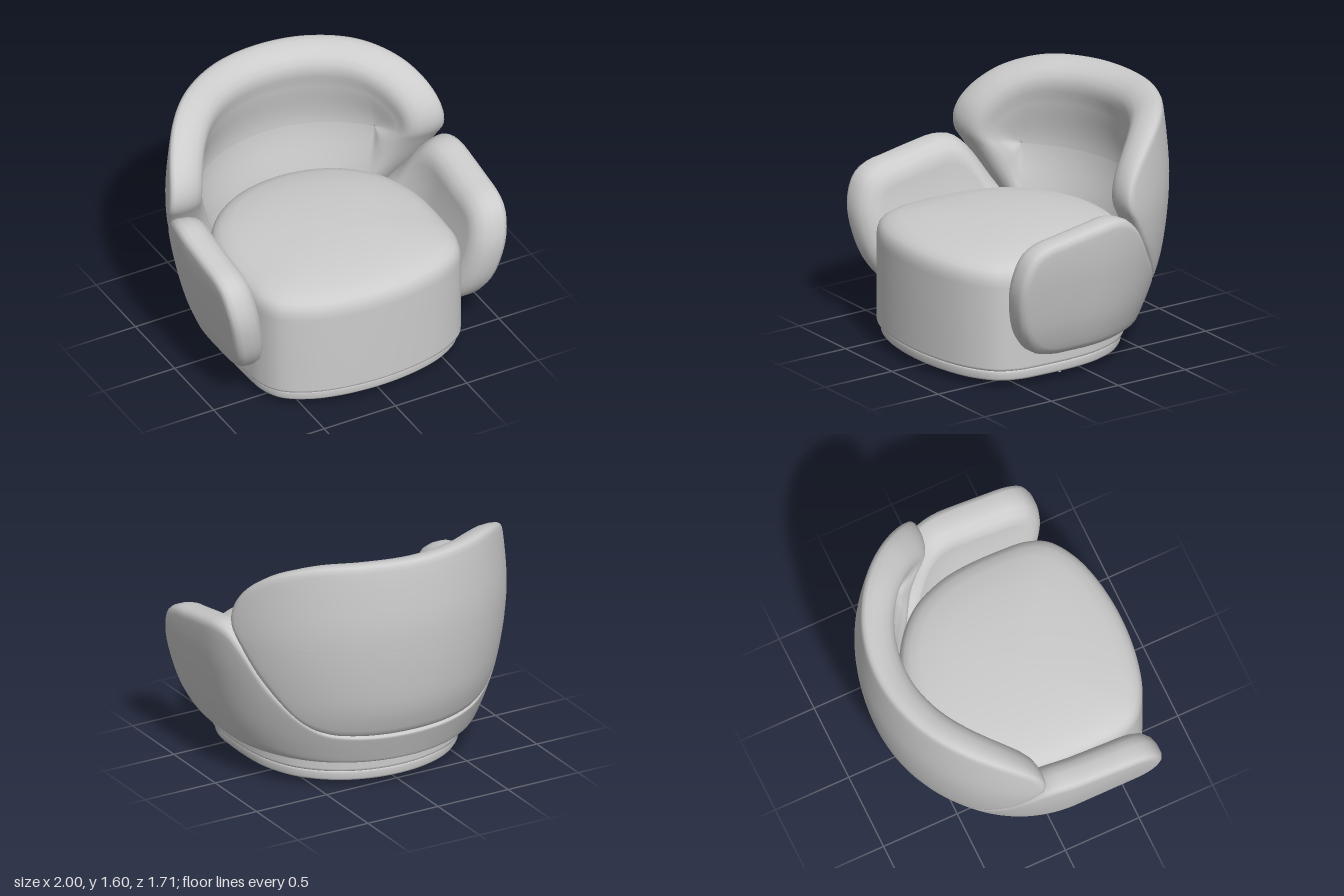
import * as THREE from 'three';

const upholstery = new THREE.MeshStandardMaterial({ color: 0xcccccc });
upholstery.name = 'light grey';

const LOOP = 200; // points around each closed outline
const MID_Z = 0.13; // centre of the curved back in plan

// Smooth lookup through [key, value] pairs
function lookup(pairs) {
  const curve = new THREE.SplineCurve(pairs.map(([k, v]) => new THREE.Vector2(k, v)));
  const table = curve.getPoints(pairs.length * 12);
  return (k) => {
    if (k <= table[0].x) return table[0].y;
    for (let i = 1; i < table.length; i++) {
      const p = table[i - 1], q = table[i];
      if (k <= q.x) return THREE.MathUtils.mapLinear(k, p.x, q.x, p.y, q.y);
    }
    return table[table.length - 1].y;
  };
}

// Closed smooth outline from one half, mirrored in its first coordinate
function mirroredLoop(half) {
  const other = half.slice(1, -1).reverse().map(([u, v]) => [-u, v]);
  const pts = [...half, ...other].map(([u, v]) => new THREE.Vector3(u, v, 0));
  const curve = new THREE.CatmullRomCurve3(pts, true, 'centripetal');
  curve.arcLengthDivisions = 800;
  return curve.getSpacedPoints(LOOP).slice(0, LOOP);
}

// Smooth skin over a list of closed rings
function skin(rings) {
  const pos = [], index = [], n = rings[0].length;
  rings.forEach((ring) => ring.forEach((p) => pos.push(p.x, p.y, p.z)));
  for (let i = 0; i < rings.length - 1; i++) {
    for (let j = 0; j < n; j++) {
      const k = (j + 1) % n;
      const a = i * n + j, b = i * n + k, c = a + n, d = b + n;
      index.push(a, b, c, b, d, c);
    }
  }
  const geo = new THREE.BufferGeometry();
  geo.setAttribute('position', new THREE.Float32BufferAttribute(pos, 3));
  geo.setIndex(index);
  geo.computeVertexNormals();
  return geo;
}

// Common outer surface: half round at the back, straight arms forward
const halfWidth = lookup([[0.2, 0.8], [0.27, 0.84], [0.45, 0.905], [0.75, 0.97], [0.95, 0.995], [1.1, 1], [1.3, 0.985], [1.6, 0.95]]);
const depth = lookup([[0.2, 0.78], [0.42, 0.865], [0.6, 0.93], [0.8, 0.962], [1, 0.98], [1.2, 0.985], [1.45, 0.965], [1.6, 0.945]]);
function place(s, y, d) {
  const a = halfWidth(y) - d, b = depth(y) - d, t = Math.abs(s), q = Math.PI / 2;
  if (t < q) return new THREE.Vector3(a * Math.sin(s), y, MID_Z - b * Math.cos(s));
  return new THREE.Vector3(a * Math.sign(s), y, MID_Z + t - q);
}

// Padded panel wrapped on that surface: outer face, rounded rim, inner face.
// Faces run slightly past the spine so the two halves overlap without a gap.
function paddedPanel(half, spine, rim, innerDepth) {
  const loop = mirroredLoop(half), STEPS = 8, OVERLAP = 1.03;
  const ring = (edge, q, d) => loop.map((p) => {
    const [cs, cy] = spine(p.x);
    const dist = Math.hypot(cs - p.x, cy - p.y);
    const start = edge * Math.min(1, dist / 0.3);
    const f = THREE.MathUtils.lerp(start, dist * OVERLAP, q) / dist;
    return place(p.x + (cs - p.x) * f, p.y + (cy - p.y) * f, d);
  });
  const rings = [];
  const first = rim[0], last = rim[rim.length - 1];
  for (let i = STEPS; i > 0; i--) rings.push(ring(first[0], i / STEPS, first[1]));
  rim.forEach(([inset, d]) => rings.push(ring(inset, 0, d)));
  for (let i = 1; i <= STEPS; i++) {
    const t = i / STEPS;
    rings.push(ring(last[0], t, THREE.MathUtils.lerp(last[1], innerDepth, THREE.MathUtils.smoothstep(t, 0, 1))));
  }
  return skin(rings);
}

// Horizontal plan outline of seat and plinth, scaled per level
const plan = mirroredLoop([[0, 0.855], [0.3, 0.825], [0.5, 0.76], [0.64, 0.66], [0.7, 0.53], [0.715, 0.38], [0.715, 0.1],
  [0.685, -0.08], [0.595, -0.28], [0.42, -0.45], [0.22, -0.54], [0, -0.57]]);
function stacked(levels) {
  return skin(levels.map(([k, y]) => plan.map((p) => new THREE.Vector3(p.x * k, y, 0.14 + (p.y - 0.14) * k))));
}

export function createModel() {
  const model = new THREE.Group();
  const add = (name, geo, x = 0, y = 0, z = 0) => {
    const mesh = new THREE.Mesh(geo, upholstery);
    mesh.name = name;
    mesh.position.set(x, y, z);
    model.add(mesh);
    return mesh;
  };

  // Domed seat and the plinth below it
  add('seat', stacked([[0, 0.115], [0.97, 0.115], [0.985, 0.116], [0.998, 0.122], [1, 0.135], [1, 0.4], [1, 0.66], [0.996, 0.7],
    [0.983, 0.735], [0.957, 0.762], [0.91, 0.786], [0.82, 0.812], [0.6, 0.842], [0.3, 0.857], [0.02, 0.86], [0, 0.86]]));
  add('plinth', stacked([[0, 0.04], [0.9, 0.04], [0.935, 0.041], [0.955, 0.047], [0.966, 0.06], [0.967, 0.095],
    [0.963, 0.107], [0.95, 0.112], [0.93, 0.113], [0, 0.113]]));

  // Arms joined by a low band behind the seat
  add('arms', paddedPanel(
    [[0, 0.2], [0.5, 0.2], [1, 0.2], [1.4, 0.2], [1.65, 0.2], [1.8, 0.207], [1.95, 0.265], [2.07, 0.42], [2.13, 0.67],
      [2.115, 0.82], [2.055, 0.94], [1.95, 0.998], [1.85, 1.016], [1.6, 1.058], [1.46, 1.076], [1.34, 1.055],
      [1.23, 0.97], [1.05, 0.75], [0.83, 0.54], [0.66, 0.45], [0.45, 0.418], [0, 0.41]],
    (s) => {
      const c = THREE.MathUtils.clamp(s, -1.75, 1.75);
      return [c, 0.305 + 0.3 * THREE.MathUtils.smoothstep(Math.abs(c), 0.6, 1.5)];
    },
    [[0.06, 0], [0.035, 0.003], [0.012, 0.016], [0, 0.045], [0, 0.11], [0.015, 0.16], [0.05, 0.2], [0.1, 0.22]], 0.22));

  // Wrapping backrest with a thick rolled rim and a shallow hollow inside
  add('backrest', paddedPanel(
    [[0, 0.41], [0.44, 0.413], [0.63, 0.43], [0.82, 0.5], [1.08, 0.76], [1.265, 1.02], [1.31, 1.09], [1.322, 1.17], [1.295, 1.26],
      [1.23, 1.345], [1.13, 1.425], [1, 1.495], [0.73, 1.572], [0.4, 1.598], [0, 1.6]],
    (s) => [THREE.MathUtils.clamp(s, -0.85, 0.85), 1.02],
    [[0.05, 0], [0.025, 0.002], [0.008, 0.01], [0, 0.03], [0.004, 0.07], [0.022, 0.125], [0.055, 0.175],
      [0.095, 0.207], [0.14, 0.222], [0.19, 0.222], [0.23, 0.214]], 0.175));

  // Round swivel base with a cross of paired rails
  const BASE_Z = 0.155;
  const ring = add('baseRing', new THREE.TorusGeometry(0.585, 0.03, 12, 72), 0, 0.029, BASE_Z);
  ring.rotation.x = Math.PI / 2;
  ring.scale.z = 0.47;
  for (const side of [-1, 1]) {
    add('crossRail', new THREE.BoxGeometry(1.16, 0.02, 0.026), 0, 0.03, BASE_Z + side * 0.019);
    add('crossRail', new THREE.BoxGeometry(0.026, 0.02, 1.16), side * 0.019, 0.03, BASE_Z);
  }
  add('hub', new THREE.CylinderGeometry(0.04, 0.04, 0.018, 24), 0, 0.032, BASE_Z);

  // Small pin feet
  for (let i = 0; i < 6; i++) {
    const a = (i * Math.PI) / 3;
    add('foot', new THREE.CylinderGeometry(0.008, 0.008, 0.03, 12), 0.59 * Math.cos(a), 0.015, BASE_Z + 0.59 * Math.sin(a));
  }

  // Underside plate and pull bar
  const plate = add('underPlate', new THREE.BoxGeometry(0.5, 0.006, 0.5), 0.08, 0.038, BASE_Z - 0.08);
  plate.rotation.y = Math.PI / 4;
  const bar = add('pullBar', new THREE.CapsuleGeometry(0.02, 0.42, 6, 12), 0.25, 0.036, BASE_Z - 0.25);
  bar.rotation.set(Math.PI / 2, 0, -Math.PI / 4);

  return model;
}
